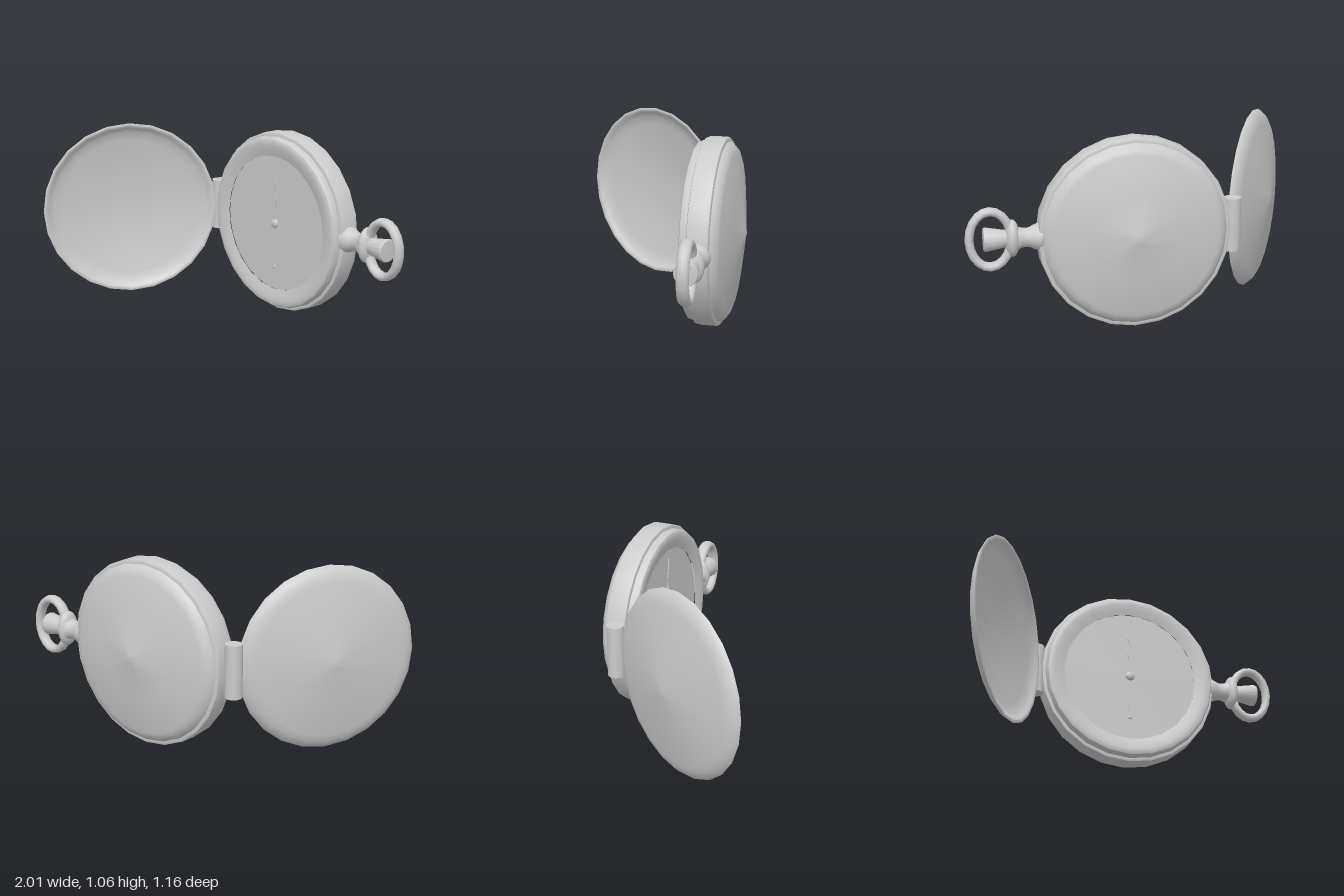
import * as THREE from 'three';
import { toCreasedNormals } from 'three/addons/utils/BufferGeometryUtils.js';

const metal = new THREE.MeshStandardMaterial({ color: 0xcccccc });
const SIDES = 24;
const CENTER = [0.08, 0.535, -0.4];

// Turned part: profile of [radius, height] from bottom to top, axis y
function turned(profile, sides = SIDES, crease = 0.6) {
  const points = profile.map(([r, h]) => new THREE.Vector2(r, h));
  return toCreasedNormals(new THREE.LatheGeometry(points, sides), crease);
}

function add(parent, name, geometry, position = [0, 0, 0]) {
  const mesh = new THREE.Mesh(geometry, metal);
  mesh.name = name;
  mesh.position.set(...position);
  parent.add(mesh);
  return mesh;
}

// Thin symmetric hand: outline of [half width, height] along one side
function handGeometry(side) {
  const left = side.map(([w, h]) => new THREE.Vector2(-w, h)).reverse();
  const right = side.map(([w, h]) => new THREE.Vector2(w, h));
  return new THREE.ExtrudeGeometry(new THREE.Shape([...right, ...left]), { depth: 0.005, bevelEnabled: false });
}

function createBody() {
  const body = new THREE.Group();
  body.name = 'watchBody';
  body.position.set(...CENTER);

  // Case: conical back, wide middle band, stepped front rim
  add(body, 'case', turned([
    [0, -0.185], [0.03, -0.178], [0.25, -0.142], [0.45, -0.109], [0.475, -0.1], [0.497, -0.08],
    [0.507, -0.063], [0.518, -0.063], [0.528, -0.058], [0.531, -0.045], [0.531, 0.045],
    [0.528, 0.056], [0.518, 0.06], [0.51, 0.06], [0.508, 0.085], [0.5, 0.1], [0.488, 0.105],
    [0.47, 0.105], [0.44, 0.1], [0.4, 0.088],
  ]).rotateX(Math.PI / 2));
  add(body, 'dial', new THREE.CircleGeometry(0.4, SIDES * 2), [0, 0, 0.083]);

  // Hands and their pivots
  add(body, 'hourHand', handGeometry([
    [0.004, 0], [0.004, 0.09], [0.018, 0.14], [0.004, 0.19], [0.003, 0.235],
  ]), [0, 0, 0.086]);
  add(body, 'minuteHand', handGeometry([
    [0.003, 0], [0.003, 0.19], [0.018, 0.235], [0.004, 0.29], [0.002, 0.355],
  ]), [0, 0, 0.092]);
  add(body, 'secondHand', handGeometry([
    [0.002, 0], [0.002, 0.03], [0.007, 0.06], [0.001, 0.1],
  ]), [0, -0.265, 0.088]);
  for (const [name, r, y] of [['handPivot', 0.028, 0], ['secondPivot', 0.012, -0.265]]) {
    const pivot = new THREE.SphereGeometry(r, 16, 10);
    add(body, name, pivot.scale(1, 1, 0.6), [0, y, 0.085]);
  }
  return body;
}

function createLid() {
  const lid = new THREE.Group();
  lid.name = 'lid';
  lid.position.set(-0.735, 0.535, 0.122);
  lid.rotation.y = Math.atan2(0.863, 0.505);
  // Domed shell with a thin rim and a hollow inside
  add(lid, 'lidShell', turned([
    [0, -0.123], [0.03, -0.12], [0.25, -0.086], [0.44, -0.052], [0.475, -0.043], [0.503, -0.026],
    [0.52, -0.008], [0.524, 0], [0.515, 0.003], [0.503, 0], [0.492, -0.012],
    [0.465, -0.028], [0.42, -0.04], [0.25, -0.066], [0, -0.1],
  ]).rotateX(Math.PI / 2));
  return lid;
}

function createWinder() {
  const winder = new THREE.Group();
  winder.name = 'winder';
  winder.position.set(0, CENTER[1], CENTER[2]);

  // Neck, flaring towards case and collar
  add(winder, 'neck', turned([
    [0, 0.57], [0.075, 0.585], [0.073, 0.607], [0.064, 0.63], [0.054, 0.65],
    [0.051, 0.667], [0.054, 0.69], [0.063, 0.715], [0, 0.725],
  ], 16, 0.8).rotateZ(-Math.PI / 2));

  // Rounded collar that holds the bow
  const collar = new THREE.SphereGeometry(1, 20, 14).scale(0.042, 0.103, 0.07);
  add(winder, 'collar', collar, [0.742, 0, 0]);

  // Crown knob
  add(winder, 'crown', turned([
    [0, 0.75], [0.045, 0.755], [0.048, 0.785], [0.066, 0.885], [0.062, 0.896], [0, 0.9],
  ], 16).rotateZ(-Math.PI / 2));

  // Oval bow, wider in z than in its own plane
  const bow = new THREE.TorusGeometry(0.15, 0.024, 10, 20);
  const pos = bow.attributes.position;
  for (let i = 0; i < pos.count; i++) {
    const x = pos.getX(i), y = pos.getY(i);
    const r = Math.hypot(x, y);
    pos.setXYZ(i, x / r * (r - 0.038), y / r * (r + 0.004), pos.getZ(i) * 1.45);
  }
  bow.computeVertexNormals();
  add(winder, 'bow', toCreasedNormals(bow, 1), [0.86, 0, 0]);
  return winder;
}

export function createModel() {
  const model = new THREE.Group();
  model.name = 'pocketWatch';
  model.add(createBody(), createLid(), createWinder());

  // Hinge barrel between case and lid
  const barrel = toCreasedNormals(new THREE.CylinderGeometry(0.049, 0.049, 0.3, 20), 0.6);
  add(model, 'hinge', barrel, [-0.48, CENTER[1], -0.375]);
  return model;
}
